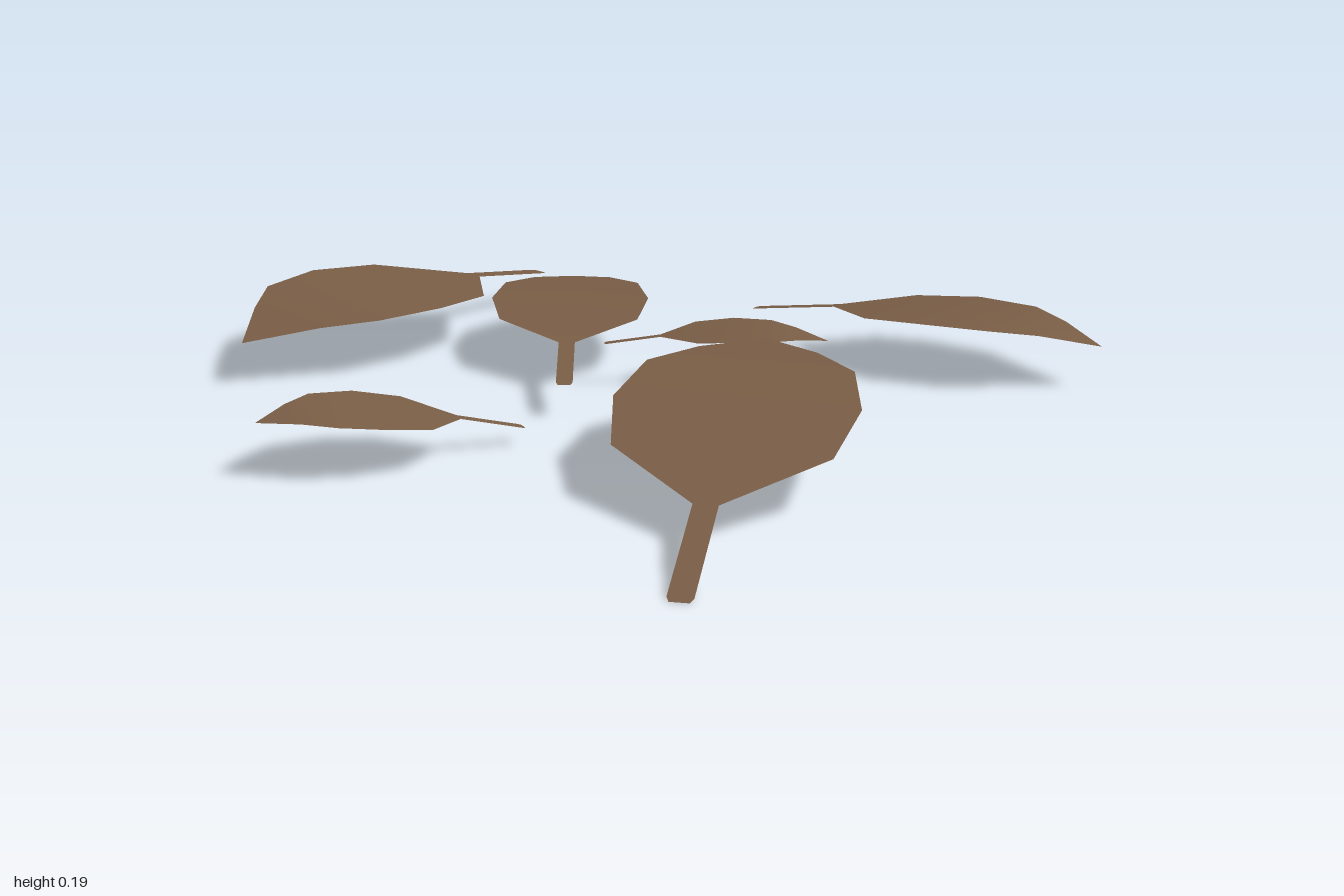
import * as THREE from 'three';

// Leaf profile, per unit length: [distance from stem end, half width, arch height]
const PROFILE = [
  [0, 0.016, 0],
  [0.012, 0.021, 0.0016],
  [0.25, 0.021, 0.032],
  [0.41, 0.184, 0.046],
  [0.585, 0.214, 0.054],
  [0.755, 0.186, 0.049],
  [0.865, 0.108, 0.034],
  [1, 0, 0],
];

// One thin arched leaf with its stem, running from the stem end to the tip.
function leafGeometry(stemEnd, tip, roll) {
  const start = new THREE.Vector3(...stemEnd);
  const axis = new THREE.Vector3(...tip).sub(start);
  const length = axis.length();
  const side = new THREE.Vector3(-axis.z, 0, axis.x).normalize();
  side.y = roll;

  const positions = [];
  const index = [];
  const last = PROFILE.length - 1;
  PROFILE.forEach(([t, halfWidth, arch], i) => {
    const centre = start.clone().addScaledVector(axis, t);
    centre.y += arch * length;
    const signs = i === last ? [0] : [-1, 1];
    for (const s of signs) {
      const p = centre.clone().addScaledVector(side, s * halfWidth * length);
      positions.push(p.x, p.y, p.z);
    }
    const a = i * 2;
    if (i < last) index.push(a, a + 1, a + 2);
    if (i < last - 1) index.push(a + 1, a + 3, a + 2);
  });

  const geometry = new THREE.BufferGeometry();
  geometry.setAttribute('position', new THREE.Float32BufferAttribute(positions, 3));
  geometry.setIndex(index);
  geometry.computeVertexNormals();
  return geometry;
}

export function createModel() {
  const group = new THREE.Group();
  group.name = 'fallenLeaves';

  const dryBrown = new THREE.MeshStandardMaterial({ color: 0x7a5e46, side: THREE.DoubleSide });
  dryBrown.name = 'dryBrown';

  // name, stem end, tip, sideways tilt
  const leaves = [
    ['backLeftLeaf', [0.05, 0.085, -0.765], [0.995, 0.11, -0.772], 0.05],
    ['smallMiddleLeaf', [-0.065, 0.115, -0.165], [0.415, 0.125, -0.43], 0],
    ['middleLeaf', [-0.018, 0.085, 0.105], [-0.484, 0.115, -0.714], 0],
    ['rightLeaf', [-0.655, 0.085, -0.815], [-0.84, 0.112, 0.282], 0.05],
    ['largeFrontLeaf', [0.755, 0.003, 0.965], [0.35, 0.172, -0.222], 0],
    ['smallFrontLeaf', [0.003, 0.045, 0.318], [-0.367, 0.13, 0.815], 0.05],
  ];
  for (const [name, stemEnd, tip, roll] of leaves) {
    const leaf = new THREE.Mesh(leafGeometry(stemEnd, tip, roll), dryBrown);
    leaf.name = name;
    group.add(leaf);
  }
  return group;
}
